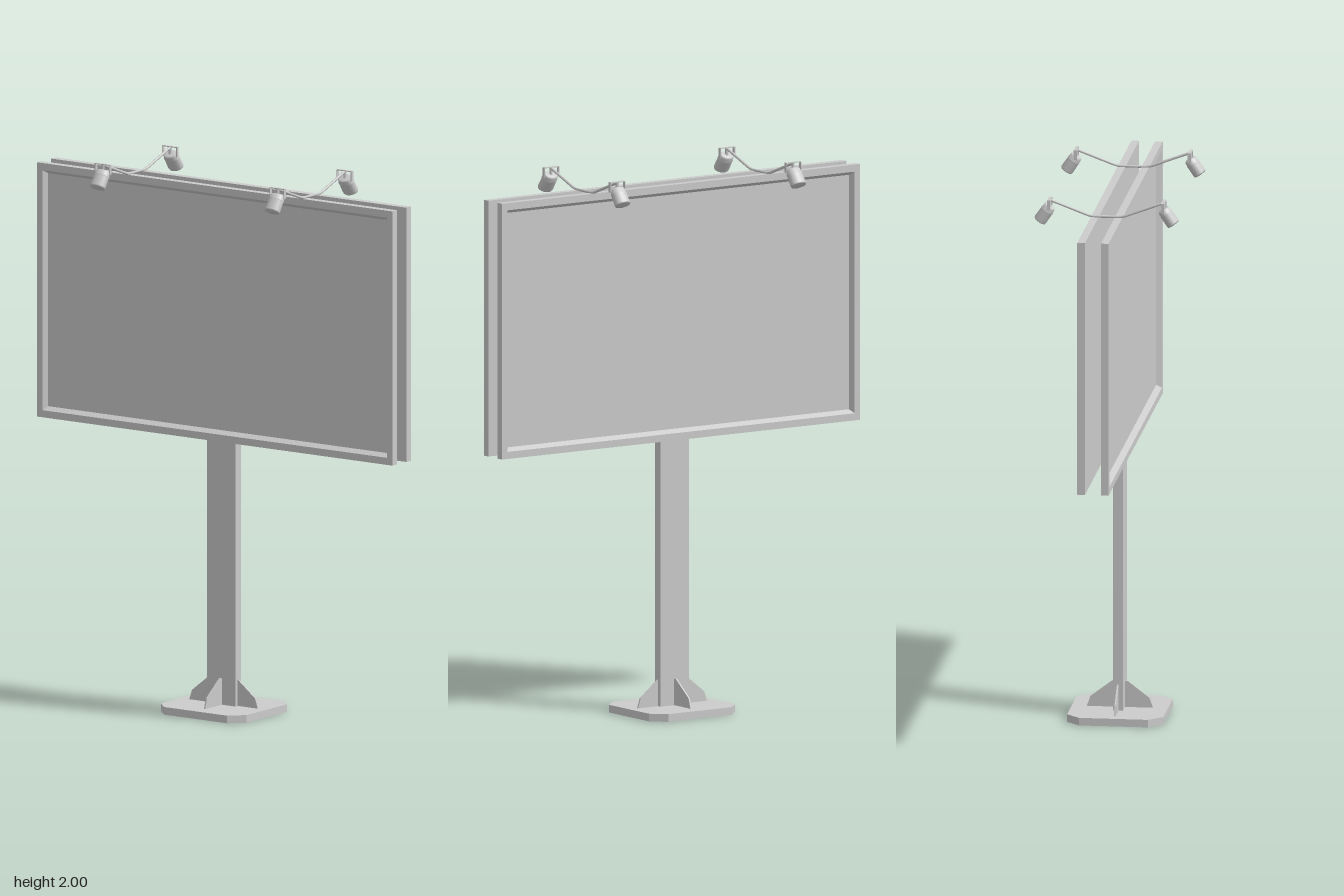
import * as THREE from 'three';

const grey = new THREE.MeshStandardMaterial({ color: 0xcccccc, flatShading: true });
const greyThin = new THREE.MeshStandardMaterial({ color: 0xcccccc, flatShading: true, side: THREE.DoubleSide });
const greySmooth = new THREE.MeshStandardMaterial({ color: 0xcccccc });

function add(parent, name, geometry, material = grey) {
  const mesh = new THREE.Mesh(geometry, material);
  mesh.name = name;
  parent.add(mesh);
  return mesh;
}

const shapeOf = (points) => new THREE.Shape(points.map(([x, y]) => new THREE.Vector2(x, y)));
const rect = (w, h) => [[-w, -h], [w, -h], [w, h], [-w, h]];

// Strip of quads joining two matching corner loops
function loft(a, b) {
  const position = [];
  a.forEach((p, i) => {
    const j = (i + 1) % a.length;
    position.push(...p, ...a[j], ...b[j], ...p, ...b[j], ...b[i]);
  });
  const geometry = new THREE.BufferGeometry();
  geometry.setAttribute('position', new THREE.Float32BufferAttribute(position, 3));
  geometry.computeVertexNormals();
  return geometry;
}

// Display panel facing +z, its back on z = 0
function createPanel() {
  const panel = new THREE.Group();
  const depth = 0.028, w = 0.79, h = 0.467, floor = 0.008;
  const lip = [w - 0.024, h - 0.026], screen = [w - 0.035, h - 0.039];
  const loop = ([x, y], z) => rect(x, y).map((p) => [...p, z]);
  add(panel, 'frameSides', loft(loop([w, h], 0), loop([w, h], depth)));
  add(panel, 'frameFront', loft(loop([w, h], depth), loop(lip, depth)));
  add(panel, 'frameBevel', loft(loop(lip, depth), loop(screen, floor)));
  add(panel, 'screen', new THREE.ShapeGeometry(shapeOf(rect(...screen)))).position.z = floor;
  add(panel, 'panelBack', new THREE.PlaneGeometry(2 * w, 2 * h)).rotation.y = Math.PI;
  return panel;
}

// Spotlight with its yoke, on the +z end of an arm
function createLamp() {
  const lamp = new THREE.Group();
  const profile = [[0, 0], [0.023, 0], [0.028, 0.004], [0.029, 0.016], [0.031, 0.018], [0.031, 0.022],
    [0.03, 0.024], [0.031, 0.062], [0.029, 0.067], [0, 0.069]].map(([r, y]) => new THREE.Vector2(r, y));
  const head = add(lamp, 'lampHead', new THREE.LatheGeometry(profile, 20), greySmooth);
  head.scale.z = 0.78;
  head.position.set(0, 1.973, 0.205);
  head.rotation.x = Math.PI - 0.6;
  // U-shaped yoke gripping the head on both sides
  const yoke = new THREE.Group();
  yoke.name = 'yoke';
  add(yoke, 'yokeTop', new THREE.BoxGeometry(0.066, 0.003, 0.012)).position.set(0, 1.9985, 0.207);
  for (const side of [-1, 1]) {
    add(yoke, 'yokeSide', new THREE.BoxGeometry(0.003, 0.036, 0.012)).position.set(side * 0.0315, 1.981, 0.207);
  }
  add(yoke, 'yokePin', new THREE.CylinderGeometry(0.006, 0.006, 0.03, 10), greySmooth).position.set(0, 1.983, 0.207);
  lamp.add(yoke);
  return lamp;
}

export function createModel() {
  const model = new THREE.Group();
  model.name = 'billboard';

  // Base plate with clipped corners, open underneath
  const base = new THREE.Group();
  base.name = 'base';
  const bx = 0.19, bz = 0.175, c = 0.05, top = 0.028;
  const outline = [[bx - c, -bz], [bx, -bz + c], [bx, bz - c], [bx - c, bz],
    [-bx + c, bz], [-bx, bz - c], [-bx, -bz + c], [-bx + c, -bz]];
  const plate = shapeOf(outline);
  plate.holes.push(new THREE.Path(rect(0.063, 0.018).map(([x, y]) => new THREE.Vector2(x, y))));
  const plateMesh = add(base, 'baseTop', new THREE.ShapeGeometry(plate), greyThin);
  plateMesh.rotation.x = -Math.PI / 2;
  plateMesh.position.y = top;
  const rim = (y) => outline.map(([x, z]) => [x, y, -z]);
  add(base, 'baseSides', loft(rim(0), rim(top)), greyThin);
  model.add(base);

  // Hollow rectangular post
  const corners = (y) => rect(0.063, 0.018).map(([x, z]) => [x, y, -z]);
  add(model, 'post', loft(corners(top), corners(1.07)), greyThin);
  add(model, 'postCap', new THREE.PlaneGeometry(0.126, 0.036), greyThin)
    .rotateX(-Math.PI / 2).position.y = 1.07;

  // Four stiffening gussets around the foot of the post
  for (let i = 0; i < 4; i++) {
    const inner = i % 2 ? 0.018 : 0.063, tip = i % 2 ? 0.12 : 0.152;
    const high = i % 2 ? 0.028 : 0.063;
    const web = shapeOf([[inner, top], [tip, top], [tip - 0.012, 0.064], [high, 0.125], [inner, 0.125]]);
    const geometry = new THREE.ExtrudeGeometry(web, { depth: 0.006, bevelEnabled: false }).translate(0, 0, -0.003);
    add(model, 'gusset', geometry).rotation.y = i * Math.PI / 2;
  }

  // Two panels, back to back with a gap for the post
  for (const turn of [0, Math.PI]) {
    const panel = createPanel();
    panel.name = turn ? 'backPanel' : 'frontPanel';
    panel.rotation.y = turn;
    panel.position.set(0, 1.469, turn ? -0.029 : 0.029);
    model.add(panel);
  }

  // Lamp arms across the top, each with a lamp at both ends
  for (const side of [-1, 1]) {
    const rig = new THREE.Group();
    rig.name = side > 0 ? 'leftLampRig' : 'rightLampRig';
    rig.position.x = side * 0.388;
    const v = (y, z) => new THREE.Vector3(0, y, z);
    const path = new THREE.CurvePath();
    path.add(new THREE.LineCurve3(v(1.996, -0.208), v(1.945, -0.072)));
    path.add(new THREE.QuadraticBezierCurve3(v(1.945, -0.072), v(1.939, -0.056), v(1.939, -0.04)));
    path.add(new THREE.LineCurve3(v(1.939, -0.04), v(1.939, 0.04)));
    path.add(new THREE.QuadraticBezierCurve3(v(1.939, 0.04), v(1.939, 0.056), v(1.945, 0.072)));
    path.add(new THREE.LineCurve3(v(1.945, 0.072), v(1.996, 0.208)));
    add(rig, 'arm', new THREE.TubeGeometry(path, 48, 0.005, 8), greySmooth);
    for (const turn of [0, Math.PI]) {
      const lamp = createLamp();
      lamp.name = turn ? 'backLamp' : 'frontLamp';
      lamp.rotation.y = turn;
      rig.add(lamp);
    }
    model.add(rig);
  }
  return model;
}
